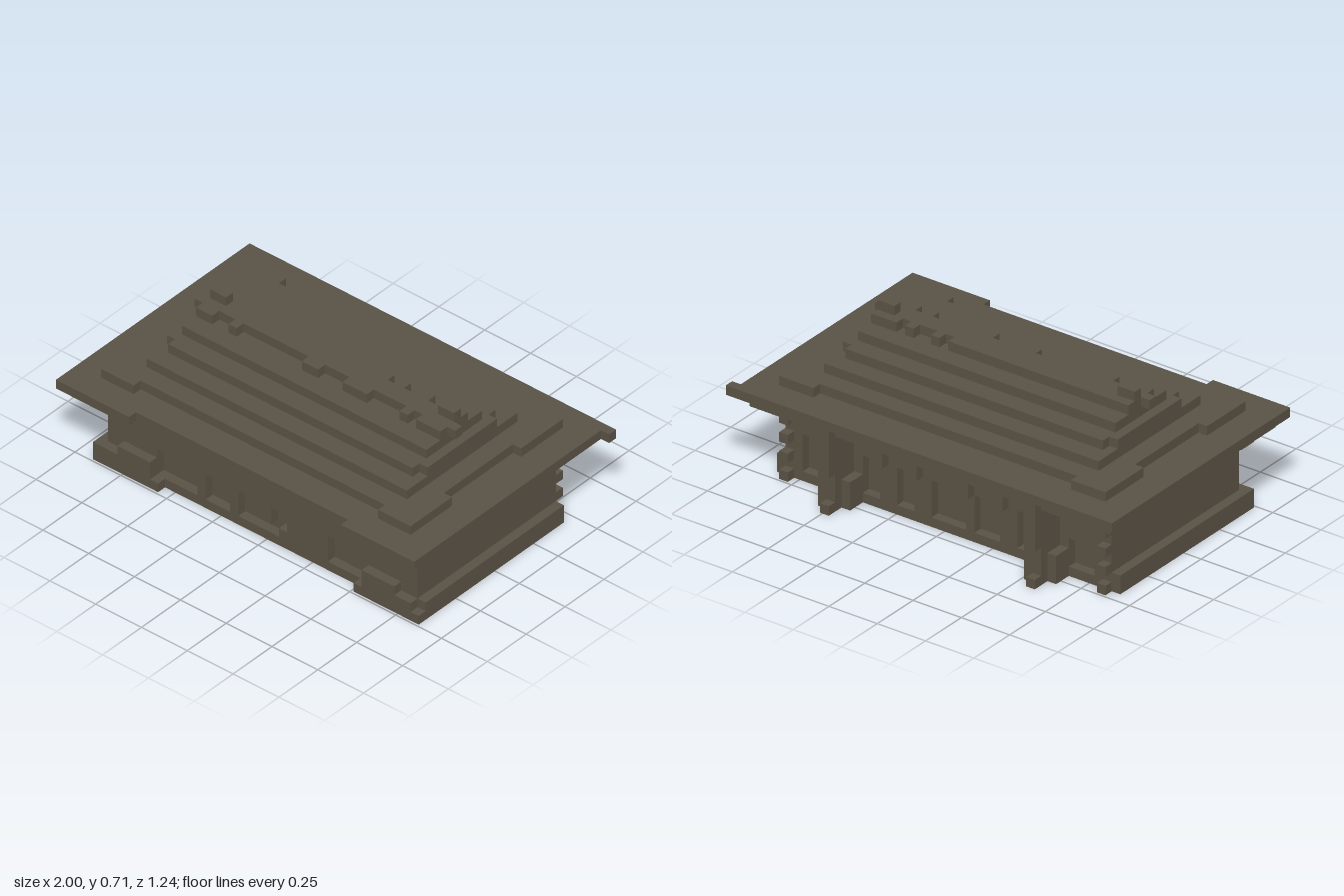
import * as THREE from 'three';

const U = 2 / 45; // one block

export function createModel() {
  const root = new THREE.Group();
  root.name = 'hall';
  const stone = new THREE.MeshStandardMaterial({ color: 0x5a5245 });
  stone.name = 'stone brown';

  // Boxes are given in block counts from the back left-hand bottom corner
  const box = (name, x0, x1, y0, y1, z0, z1) => {
    const m = new THREE.Mesh(new THREE.BoxGeometry((x1 - x0) * U, (y1 - y0) * U, (z1 - z0) * U), stone);
    m.position.set((x0 + x1) / 2 * U - 1, (y0 + y1) / 2 * U, (z0 + z1 - 28) / 2 * U);
    m.name = name;
    root.add(m);
  };
  const path = (pts, Type) => new Type(pts.map(([x, y]) => new THREE.Vector2(x * U - 1, y * U)));
  const rect = (x0, x1, y0, y1) => [[x0, y0], [x1, y0], [x1, y1], [x0, y1]];
  // One-block-thick wall with openings cut through it
  const wall = (name, z, holes) => {
    const s = path(rect(3, 41, 0, 8), THREE.Shape);
    holes.forEach((h) => s.holes.push(path(h, THREE.Path)));
    const m = new THREE.Mesh(new THREE.ExtrudeGeometry(s, { depth: U, bevelEnabled: false }), stone);
    m.position.z = (z - 14) * U;
    m.name = name;
    root.add(m);
  };

  // Front wall: window recesses and the wall behind them
  wall('frontWall', 23, [
    rect(9, 14, 1, 4),
    [[15, 1], [18, 1], [18, 2], [16, 2], [16, 4], [15, 4]],
    [[19, 1], [24, 1], [24, 2], [25, 2], [25, 4], [23, 4], [23, 2], [21, 2], [21, 4], [19, 4]],
    rect(30, 35, 1, 4),
  ]);
  box('frontWindowBacking', 4, 40, 1, 8, 22, 23);

  // Back wall with panels
  wall('backWall', 4, [
    rect(5, 8, 1, 4), rect(12, 14, 1, 5), rect(16, 19, 1, 5),
    rect(20, 24, 1, 5), rect(26, 28, 1, 5), rect(30, 32, 1, 5), rect(36, 39, 1, 5),
  ]);
  box('backWindowBacking', 4, 40, 1, 8, 5, 6);

  // Side walls and side plinths
  box('rightWall', 3, 5, 0, 8, 5, 23);
  box('leftWall', 39, 41, 0, 8, 5, 23);
  box('rightPlinth', 2, 3, 0, 2, 4, 25);
  box('leftPlinth', 41, 42, 0, 2, 4, 24);
  box('leftPlinthFoot', 41, 42, 0, 1, 24, 25);

  // Floor ring, open in the middle
  box('floorBack', 5, 39, 0, 1, 5, 9);
  box('floorFront', 5, 10, 0, 1, 20, 23);
  box('floorFront', 34, 39, 0, 1, 20, 23);
  box('floorRight', 5, 9, 0, 1, 9, 20);
  box('floorLeft', 35, 39, 0, 1, 9, 20);

  // Stepped front plinths, mirrored
  for (const [a, b, h] of [[3, 5, 2], [5, 9, 3], [9, 10, 1]]) {
    box('frontPlinth', a, b, 0, h, 24, 25);
    box('frontPlinth', 44 - b, 44 - a, 0, h, 24, 25);
  }

  // Back porch posts with feet and brackets
  for (const x of [9, 33]) {
    box('backPost', x, x + 2, 0, 8, 1, 3);
    box('backPostTie', x, x + 2, 3, 8, 3, 4);
    box('backPostBracket', x, x + 1, 4, 9, 0, 1);
    box('backPostFoot', x, x + 1, 0, 1, 0, 1);
    box('backPostBase', x - 1, x + 2, 0, 3, 2, 4);
  }
  // Back wall ribs and corner blocks
  for (const x of [15, 19, 25, 29]) box('backRib', x, x + 1, 5, 8, 3, 4);
  for (const x of [3, 40]) {
    for (const y of [0, 2, 4, 6]) box('backCornerBlock', x, x + 1, y, y + 1, 3, 4);
  }

  // Brackets under the eaves
  const along = [[2, 5], [7, 8], [10, 11], [13, 15], [17, 18], [20, 21], [24, 25], [27, 29], [31, 32], [34, 35], [37, 38], [39, 42]];
  for (const [a, b] of along) {
    box('frontBracket', a, b, 7, 8, 24, 25);
    box('backBracket', a, b, 7, 8, 3, 4);
  }
  const across = [[4, 6], [7, 8], [9, 11], [12, 13], [15, 16], [17, 18], [19, 20], [21, 22], [23, 25]];
  for (const [a, b] of across) {
    box('rightBracket', 2, 3, 7, 8, a, b);
    box('leftBracket', 41, 42, 7, 8, a, b);
  }

  // Eaves
  box('lowerEave', 1, 43, 8, 9, 1, 27);
  box('upperEave', 0, 44, 9, 10, 0, 27);
  box('eaveFrontRight', 0, 9, 9, 10, 27, 28);
  box('eaveFrontLeft', 35, 44, 9, 10, 27, 28);
  box('eaveBackCorner', 44, 45, 9, 10, 0, 1);

  // First roof step with thicker corners
  box('roofStep1', 4, 40, 10, 11, 4, 24);
  for (const [a, b] of [[3, 7], [37, 41]]) {
    box('roofCornerBack', a, b, 10, 11, 3, 9);
    box('roofCornerFront', a, b, 10, 11, 19, 25);
  }
  // Higher roof steps
  box('roofStep2', 6, 38, 11, 12, 6, 22);
  box('roofStep3', 7, 37, 12, 13, 8, 20);
  box('roofStep3Ends', 6, 38, 12, 13, 9, 19);
  box('roofStep4', 7, 37, 13, 14, 10, 18);

  // Ridge with broken edges
  box('ridge', 7, 37, 14, 15, 13, 15);
  box('ridgeEnds', 6, 38, 14, 15, 14, 15);
  for (const [a, b] of [[7, 9], [11, 12], [20, 22], [25, 28], [32, 33], [34, 37]]) box('ridgeFrontTile', a, b, 14, 15, 15, 16);
  for (const [a, b] of [[7, 28], [29, 30], [32, 33], [34, 37]]) box('ridgeBackTile', a, b, 14, 15, 12, 13);
  for (const x of [7, 35]) box('ridgeFinial', x, x + 2, 15, 16, 13, 14);

  return root;
}
